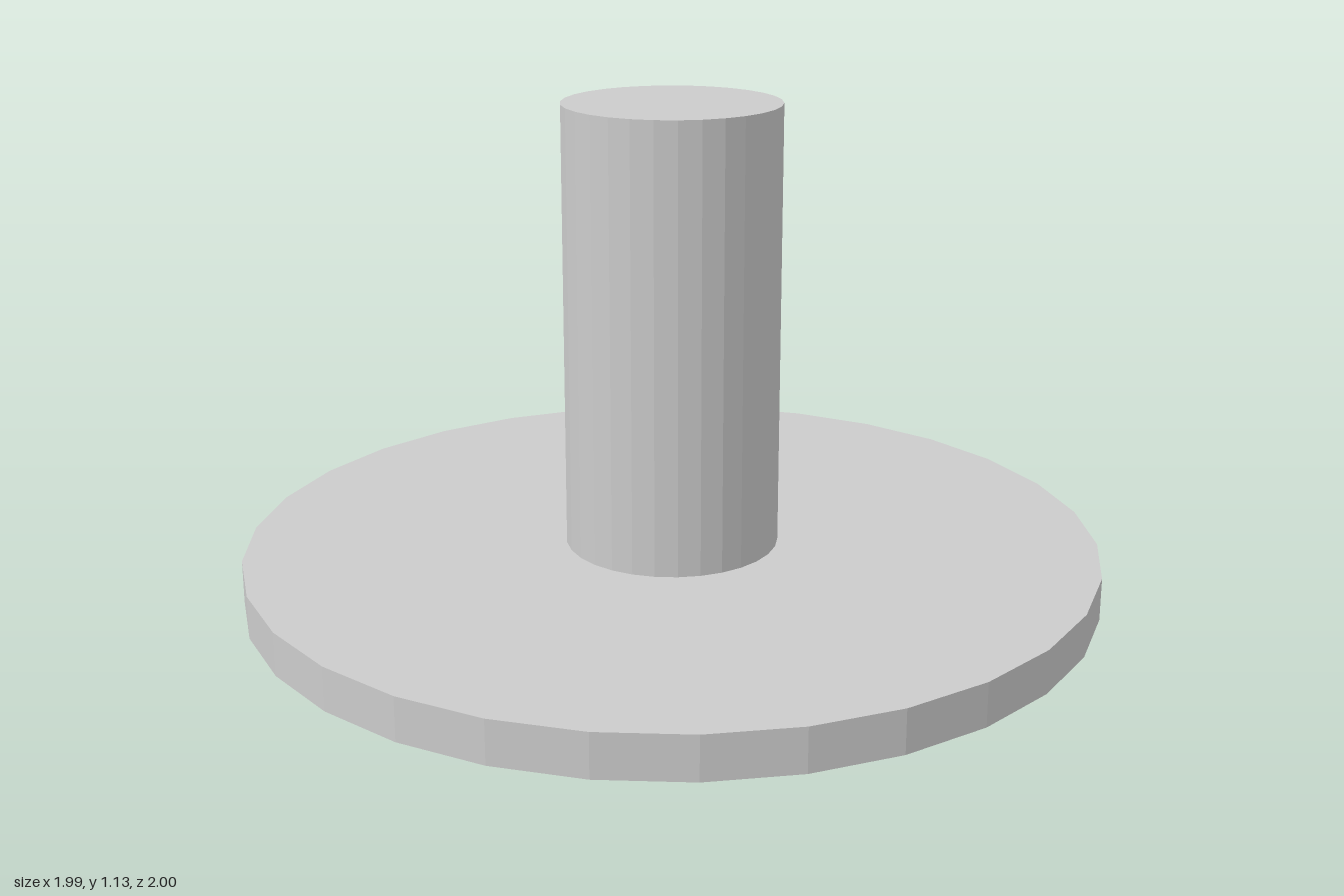
import * as THREE from 'three';

const SIDES = 30;

export function createModel() {
  const group = new THREE.Group();
  group.name = 'pedestal';
  const material = new THREE.MeshStandardMaterial({ color: 0xcccccc, flatShading: true });

  // Upright faceted cylinder standing on the given height
  const addCylinder = (name, radius, bottom, top) => {
    const geometry = new THREE.CylinderGeometry(radius, radius, top - bottom, SIDES);
    const mesh = new THREE.Mesh(geometry, material);
    mesh.name = name;
    mesh.position.y = (bottom + top) / 2;
    group.add(mesh);
  };

  // Wide flat disc at the bottom
  addCylinder('baseDisc', 1, 0, 0.1);
  // Central post rising from the disc
  addCylinder('post', 0.25, 0.1, 1.135);

  return group;
}
